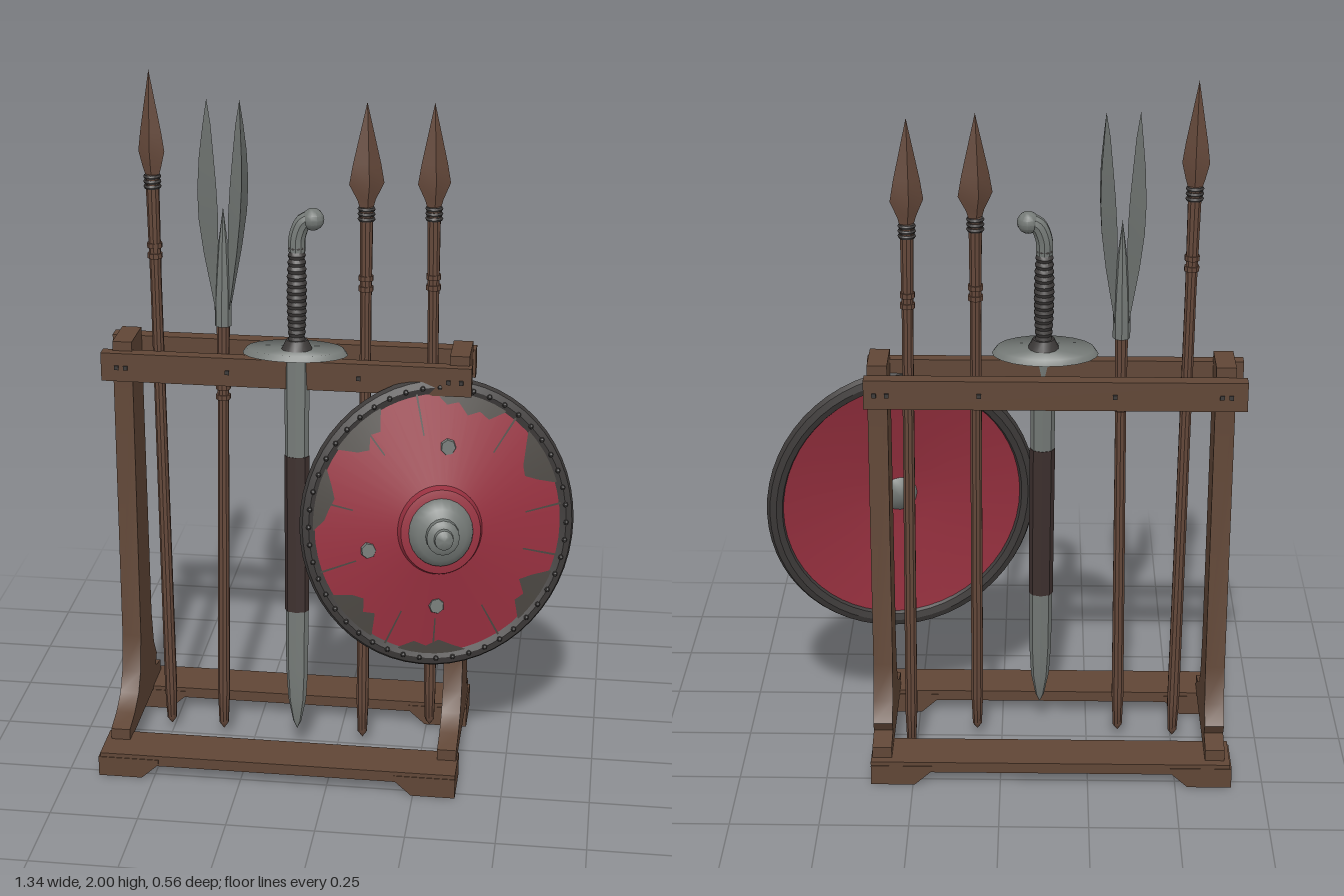
import * as THREE from 'three';
import { toCreasedNormals } from 'three/addons/utils/BufferGeometryUtils.js';

const paint = (name, color, side = THREE.FrontSide) => {
  const m = new THREE.MeshStandardMaterial({ color, side });
  m.name = name;
  return m;
};
const V = (x, y, z = 0) => new THREE.Vector3(x, y, z);

export function createModel() {
  const wood = paint('wood', 0x604636);
  const shaftWood = paint('shaftWood', 0x64483a);
  const steel = paint('steel', 0x747976);
  const iron = paint('iron', 0x3d3a39);
  const red = paint('red', 0x97303f);
  const worn = paint('worn', 0x4b4742, THREE.DoubleSide);
  const leather = paint('leather', 0x3d302e);

  const model = new THREE.Group();
  model.name = 'weaponRack';
  const group = (name, parent = model) => {
    const g = new THREE.Group();
    g.name = name;
    parent.add(g);
    return g;
  };
  const add = (parent, name, geo, mat, x = 0, y = 0, z = 0) => {
    const m = new THREE.Mesh(toCreasedNormals(geo, 0.6), mat);
    m.name = name;
    m.position.set(x, y, z);
    parent.add(m);
    return m;
  };
  const box = (parent, name, mat, x0, x1, y0, y1, z0, z1) =>
    add(parent, name, new THREE.BoxGeometry(x1 - x0, y1 - y0, z1 - z0), mat,
      (x0 + x1) / 2, (y0 + y1) / 2, (z0 + z1) / 2);
  const lathe = (pts, sides) =>
    new THREE.LatheGeometry(pts.map(([r, y]) => new THREE.Vector2(r, y)), sides);
  const extrude = (pts, depth) => new THREE.ExtrudeGeometry(
    new THREE.Shape(pts.map(([x, y]) => new THREE.Vector2(x, y))), { depth, bevelEnabled: false });

  // ---- Wooden rack ----
  const rack = group('rack');
  const mid = -0.145; // middle of the rack in x
  for (const [z0, z1] of [[-0.28, -0.145], [0.14, 0.275]]) {
    box(rack, 'baseRail', wood, -0.655, 0.37, 0.04, 0.072, z0, z1);
    for (const s of [-1, 1]) {
      const pts = [[0.515, 0], [0.515, 0.06], [0.34, 0.06], [0.34, 0.045], [0.39, 0]]
        .map(([x, y]) => [mid + s * x, y]);
      add(rack, 'foot', extrude(pts, z1 - z0 + 0.004), wood, 0, 0, z0 - 0.002);
    }
  }
  // End posts with flared feet
  const flare = [[0.19, 0.065], [0.19, 0.105], [0.12, 0.122], [0.06, 0.155], [0.025, 0.21], [0.005, 0.32]];
  const postShape = [[-0.25, 0.065], ...flare.slice(0), [-0.008, 1.23], [-0.14, 1.23],
    ...flare.slice(1).reverse().map(([z, y]) => [-z - 0.145 + (z > 0.1 ? 0.08 : 0.0), y])];
  postShape[0][0] = -0.255;
  for (const x of [-0.585, 0.366]) {
    add(rack, 'endPost', extrude(postShape, 0.055).rotateY(-Math.PI / 2), wood, x);
  }
  // Top planks and their nails
  for (const [z0, z1, face] of [[-0.185, -0.142, -0.186], [-0.02, 0.016, 0.017]]) {
    box(rack, 'topPlank', wood, -0.67, 0.374, 1.12, 1.203, z0, z1);
    for (const x of [-0.625, -0.6, -0.31, 0.06, 0.31, 0.345]) {
      box(rack, 'nail', iron, x - 0.006, x + 0.006, 1.155, 1.167, face - 0.004, face + 0.004);
    }
  }

  // ---- Polearms ----
  const lean = (g, bottom, top) => {
    g.position.copy(bottom);
    g.quaternion.setFromUnitVectors(V(0, 1, 0), top.clone().sub(bottom).normalize());
    return top.distanceTo(bottom);
  };
  const shaft = (g, end) => {
    add(g, 'shaft', lathe([[0, 0], [0.014, 0.02], [0.018, 0.12], [0.016, end * 0.82], [0.019, end], [0, end]], 10), shaftWood);
    for (const d of [0.2, 0.23]) {
      add(g, 'shaftRing', new THREE.CylinderGeometry(0.021, 0.021, 0.014, 10), shaftWood, 0, end - d, 0);
    }
  };
  const spears = [
    [V(-0.503, 0.02, -0.02), V(-0.52, 2.0, -0.04), 0.037, -0.1],
    [V(0.073, 0.025, 0.0), V(0.07, 1.92, -0.08), 0.05, 0.4],
    [V(0.263, 0.025, -0.1), V(0.25, 1.915, -0.115), 0.046, 0.3],
  ];
  for (const [bottom, top, w, yaw] of spears) {
    const g = group('spear');
    const len = lean(g, bottom, top);
    const base = len - 0.29;
    shaft(g, base);
    // Four-sided point, flattened
    const head = add(g, 'spearHead', lathe([[0, 0], [0.02, 0], [0.026, 0.02], [w, 0.065], [w * 0.8, 0.12], [0, 0.29]], 4), shaftWood, 0, base, 0);
    head.scale.z = 0.5;
    head.rotation.y = yaw;
    for (let i = 0; i < 3; i++) {
      const ring = add(g, 'headBinding', new THREE.TorusGeometry(0.019, 0.006, 6, 12), iron, 0, base - 0.005 - i * 0.014, 0);
      ring.rotation.x = Math.PI / 2;
    }
  }

  // Twin-bladed spear
  const twin = group('twinBladedSpear');
  const twinLen = lean(twin, V(-0.342, 0.025, 0.0), V(-0.322, 1.92, -0.062));
  shaft(twin, twinLen - 0.62);
  add(twin, 'socket', lathe([[0, 0], [0.024, 0], [0.024, 0.08], [0.019, 0.16], [0.013, 0.24], [0, 0.34]], 8), steel, 0, twinLen - 0.64, 0);
  for (const turn of [0, Math.PI]) {
    const rows = [[0, 0], [0.018, 0.03], [0.03, 0.1], [0.052, 0.2], [0.068, 0.3], [0.066, 0.38], [0.05, 0.47], [0.028, 0.55], [0, 0.62]];
    const leaf = lathe(rows, 3).rotateY(-Math.PI / 2).scale(0.42, 1, 1);
    const p = leaf.attributes.position;
    // Bow each leaf outward along its height
    for (let i = 0; i < p.count; i++) {
      const t = p.getY(i) / 0.62;
      p.setX(i, p.getX(i) + 0.012 + 0.036 * Math.sin(Math.min(1, t * 1.1) * Math.PI * 0.62));
    }
    add(twin, 'leafBlade', leaf, steel, 0, twinLen - 0.62, 0).rotation.y = turn;
  }

  // ---- Sword, origin at the guard ----
  const sword = group('sword');
  const guardPoint = V(-0.115, 1.222, 0);
  lean(sword, guardPoint, guardPoint.clone().add(V(-0.004, 1.14, -0.07)));
  const bladeParts = [
    ['bladeTip', steel, [[0, -1.145], [0.012, -1.12], [0.026, -1.05], [0.032, -0.95], [0.033, -0.77]]],
    ['bladeWrap', leather, [[0, -0.77], [0.035, -0.77], [0.036, -0.3], [0, -0.3]]],
    ['bladeUpper', steel, [[0.034, -0.3], [0.036, 0]]],
  ];
  for (const [name, mat, pts] of bladeParts) {
    add(sword, name, lathe(pts, 8), mat).scale.z = 0.72;
  }
  const guard = add(sword, 'guard', new THREE.CylinderGeometry(0.92, 1, 0.016, 20), steel, -0.005, 0.006, -0.005);
  guard.scale.set(0.148, 1, 0.093);
  add(sword, 'collar', new THREE.CylinderGeometry(0.03, 0.045, 0.03, 14), iron, 0, 0.025, 0);
  // Corded grip
  const cords = [[0, 0.02]];
  for (let i = 0; i < 14; i++) {
    const r = 0.024 + 0.005 * Math.sin((i / 13) * Math.PI);
    cords.push([r - 0.004, 0.03 + i * 0.02], [r, 0.04 + i * 0.02]);
  }
  cords.push([0.022, 0.31], [0, 0.31]);
  add(sword, 'grip', lathe(cords, 14), iron);
  // Hooked pommel
  const hook = new THREE.CatmullRomCurve3([V(0, 0.29), V(0.002, 0.335), V(0.02, 0.375), V(0.047, 0.385)]);
  add(sword, 'pommelNeck', new THREE.TubeGeometry(hook, 12, 0.024, 10), steel);
  add(sword, 'pommelKnob', new THREE.SphereGeometry(0.031, 12, 8), steel, 0.045, 0.382, 0);

  // ---- Round shield, facing local +z ----
  const shield = group('shield');
  shield.position.set(0.287, 0.747, 0.04);
  shield.quaternion.setFromUnitVectors(V(0, 0, 1), V(0.21, 0.12, 1).normalize());
  shield.scale.x = 0.915;
  const disc = (name, pts, mat, sides = 48) => add(shield, name, lathe(pts, sides).rotateX(Math.PI / 2), mat);
  disc('shieldBody', [[0, 0.04], [0.12, 0.04], [0.4, -0.01], [0.4, 0.01], [0.13, 0.068], [0.122, 0.088], [0.1, 0.092], [0, 0.092]], red);
  disc('boss', [[0.1, 0.088], [0.096, 0.1], [0.075, 0.118], [0.05, 0.128]], steel, 24);
  disc('bossStep', [[0.052, 0.122], [0.05, 0.145], [0.04, 0.152], [0.03, 0.155], [0.028, 0.168], [0.015, 0.176], [0, 0.177]], steel, 16);
  disc('backBoss', [[0, 0.018], [0.035, 0.024], [0.055, 0.041]], steel, 16);
  const rim = add(shield, 'rim', new THREE.TorusGeometry(0.398, 0.027, 8, 56), iron);
  rim.scale.z = 0.75;
  for (let i = 0; i < 48; i++) {
    const a = (i / 48) * Math.PI * 2;
    add(shield, 'rimRivet', new THREE.SphereGeometry(0.008, 6, 4), iron, 0.398 * Math.cos(a), 0.398 * Math.sin(a), 0.02);
  }
  // Thin patches that follow the shield's face, between two radii
  const face = (r) => 0.01 + (0.4 - r) * (0.058 / 0.27) + 0.003;
  const patch = (name, mat, from, to, inner, outer = 0.39) => {
    const pos = [], idx = [];
    inner.forEach((r, i) => {
      const a = THREE.MathUtils.degToRad(from + ((to - from) * i) / (inner.length - 1));
      for (const q of [r, outer]) pos.push(q * Math.cos(a), q * Math.sin(a), face(q));
      if (i) idx.push(2 * i - 2, 2 * i - 1, 2 * i, 2 * i - 1, 2 * i + 1, 2 * i);
    });
    const g = new THREE.BufferGeometry();
    g.setAttribute('position', new THREE.Float32BufferAttribute(pos, 3));
    g.setIndex(idx);
    add(shield, name, g, mat);
  };
  const wear = [
    [58, 92, [0.38, 0.34, 0.35, 0.33, 0.36, 0.35, 0.385]],
    [118, 144, [0.38, 0.33, 0.34, 0.31, 0.33, 0.38]],
    [154, 182, [0.38, 0.35, 0.33, 0.34, 0.35, 0.385]],
    [212, 238, [0.38, 0.33, 0.31, 0.34, 0.32, 0.38]],
    [252, 284, [0.38, 0.35, 0.36, 0.34, 0.36, 0.385]],
    [312, 338, [0.38, 0.33, 0.34, 0.30, 0.33, 0.38]],
    [18, 44, [0.38, 0.33, 0.30, 0.31, 0.34, 0.38]],
  ];
  for (const [from, to, inner] of wear) patch('wornPatch', worn, from, to, inner);
  for (const a of [8, 52, 100, 128, 168, 200, 245, 268, 300, 345]) {
    patch('crack', worn, a, a + 0.9, [0.27, 0.27]);
  }
  // Bare metal spots
  for (const [a, r] of [[84, 0.235], [196, 0.225], [269, 0.23]]) {
    const t = THREE.MathUtils.degToRad(a);
    const spot = add(shield, 'bareSpot', new THREE.CylinderGeometry(0.022, 0.025, 0.008, 7).rotateX(Math.PI / 2), steel,
      r * Math.cos(t), r * Math.sin(t), face(r));
    spot.rotation.z = t;
  }
  return model;
}
